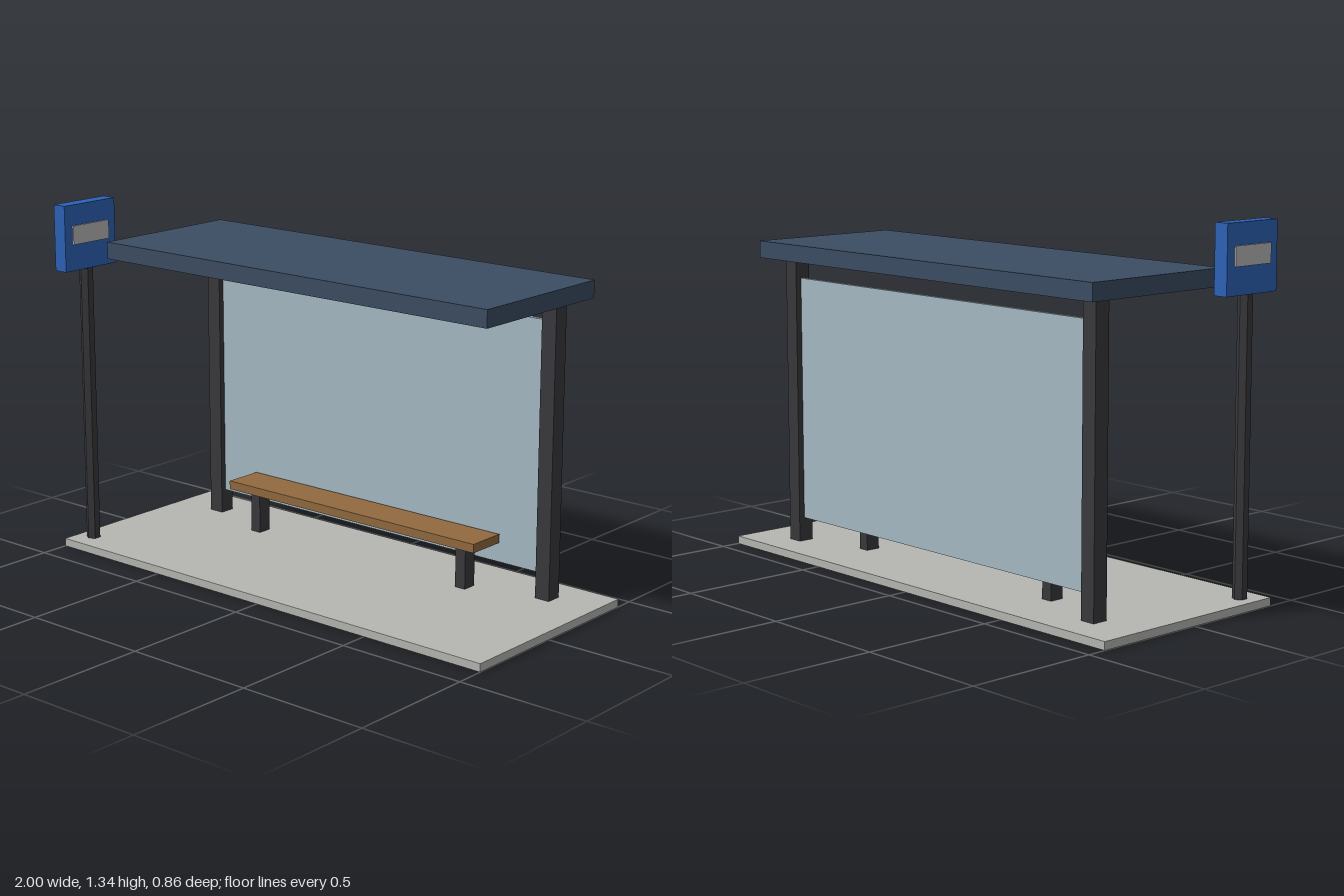
import * as THREE from 'three';

export function createModel() {
  const model = new THREE.Group();
  model.name = 'busShelter';

  const material = (name, color) => {
    const m = new THREE.MeshStandardMaterial({ color });
    m.name = name;
    return m;
  };
  const concrete = material('concrete', 0xb6b6b1);
  const roofBlue = material('roof slate blue', 0x3b4d63);
  const metal = material('dark metal', 0x39383c);
  const glass = material('pale glass', 0xa6bac4);
  const wood = material('bench wood', 0x91693f);
  const signBlue = material('sign blue', 0x2c62b7);
  const plateGrey = material('sign plate grey', 0xb9b9b9);

  // Box given by its lower and upper corners
  const box = (name, mat, [x0, y0, z0], [x1, y1, z1]) => {
    const mesh = new THREE.Mesh(new THREE.BoxGeometry(x1 - x0, y1 - y0, z1 - z0), mat);
    mesh.position.set((x0 + x1) / 2, (y0 + y1) / 2, (z0 + z1) / 2);
    mesh.name = name;
    model.add(mesh);
    return mesh;
  };

  // Ground slab, roof and rear panel
  box('slab', concrete, [-1, 0, -0.428], [1, 0.03, 0.39]);
  box('roof', roofBlue, [-0.887, 1.12, -0.383], [0.887, 1.184, 0.235]);
  box('rearGlass', glass, [-0.775, 0.12, -0.283], [0.775, 1.045, -0.267]);

  // Bench seat
  box('benchSeat', wood, [-0.593, 0.195, -0.26], [0.593, 0.228, -0.107]);

  // Posts and bench legs, mirrored
  for (const side of [-1, 1]) {
    const label = side > 0 ? 'left' : 'right';
    const post = side * 0.797, leg = side * 0.5;
    box(label + 'Post', metal, [post - 0.03, 0.03, -0.306], [post + 0.03, 1.12, -0.245]);
    box(label + 'BenchLeg', metal, [leg - 0.022, 0.03, -0.209], [leg + 0.022, 0.195, -0.153]);
  }

  // Six-sided sign pole
  const signX = -0.934, signZ = 0.302;
  const poleGeometry = new THREE.CylinderGeometry(0.0265, 0.0265, 1.07, 6).toNonIndexed();
  poleGeometry.computeVertexNormals();
  const pole = new THREE.Mesh(poleGeometry, metal);
  pole.position.set(signX, 0.565, signZ);
  pole.name = 'signPole';
  model.add(pole);

  // Sign board with a grey plate on each face
  box('signBoard', signBlue, [signX - 0.028, 1.095, signZ - 0.127], [signX + 0.028, 1.343, signZ + 0.127]);
  for (const side of [-1, 1]) {
    const x = signX + side * 0.03;
    box(side > 0 ? 'leftSignPlate' : 'rightSignPlate', plateGrey,
      [x - 0.004, 1.194, signZ - 0.09], [x + 0.004, 1.265, signZ + 0.09]);
  }

  return model;
}
